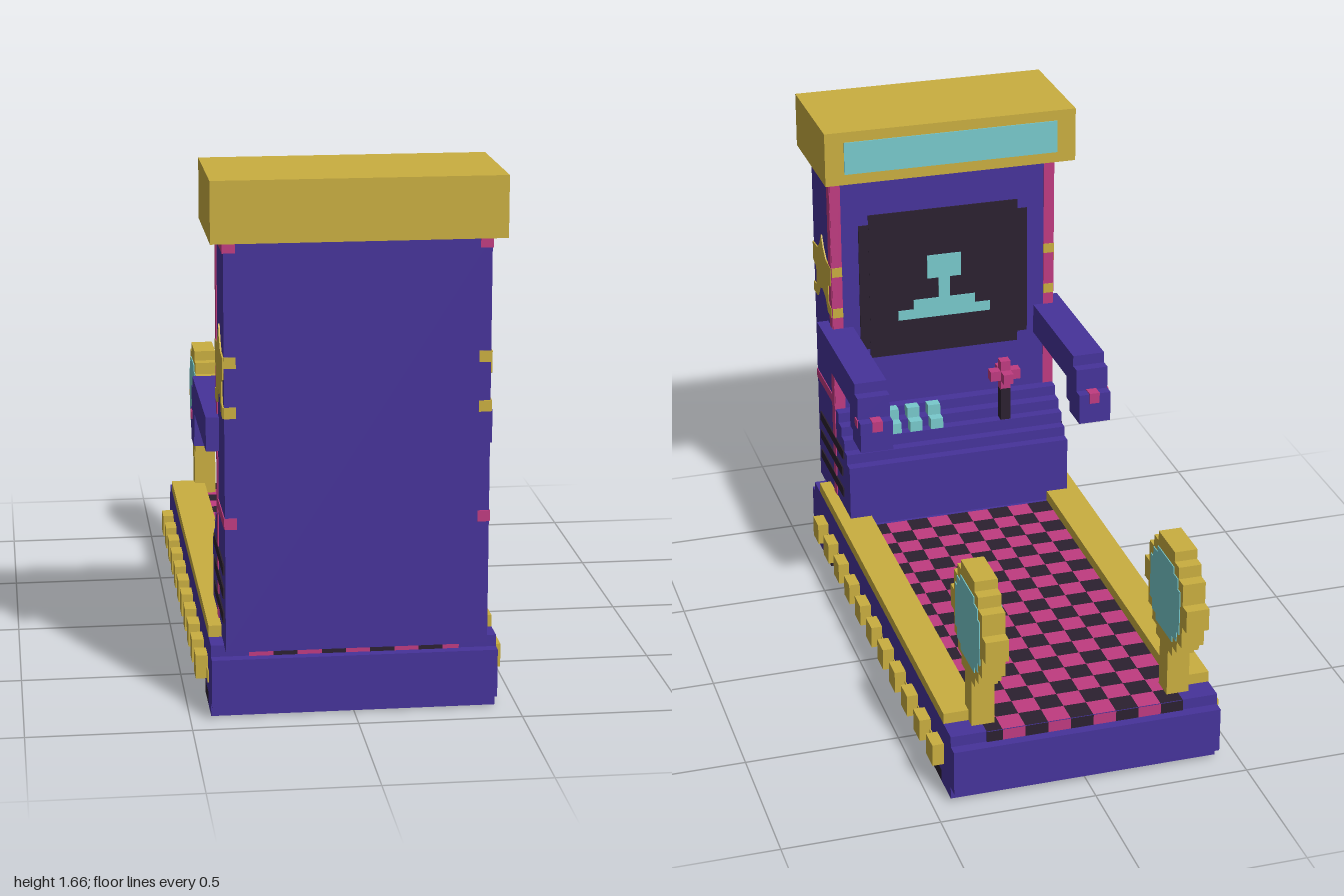
import * as THREE from 'three';
import { mergeGeometries } from 'three/addons/utils/BufferGeometryUtils.js';

// The body is a hollow shell, open underneath, so every material is two-sided
const paint = (name, color) => new THREE.MeshStandardMaterial({ name, color, side: THREE.DoubleSide });

export function createModel() {
  const model = new THREE.Group();
  const gold = paint('gold', 0xc9ae40);
  const violet = paint('violet', 0x46339a);
  const pink = paint('pink', 0xbf3b80);
  const dark = paint('dark', 0x2b2030);
  const teal = paint('teal', 0x78c9cc);

  const add = (name, geo, mat) => {
    const mesh = new THREE.Mesh(geo, mat);
    mesh.name = name;
    model.add(mesh);
    return mesh;
  };
  // Box from its extents; open lists dropped faces (0 +x, 1 -x, 2 +y, 3 -y, 4 +z, 5 -z)
  const boxGeo = (x0, x1, y0, y1, z0, z1, open = []) => {
    const g = new THREE.BoxGeometry(x1 - x0, y1 - y0, z1 - z0);
    g.translate((x0 + x1) / 2, (y0 + y1) / 2, (z0 + z1) / 2);
    const index = Array.from(g.index.array).filter((_, i) => !open.includes(Math.floor(i / 6)));
    g.setIndex(index);
    g.clearGroups();
    return g;
  };
  const box = (name, mat, x0, x1, y0, y1, z0, z1, open) =>
    add(name, boxGeo(x0, x1, y0, y1, z0, z1, open), mat);
  // Shape drawn in (z, y), extruded along x and centred on the given x
  const sideExtrude = (points, x, width, open) => {
    const shape = new THREE.Shape(points.map(([z, y]) => new THREE.Vector2(-z, y)));
    let g = new THREE.ExtrudeGeometry(shape, { depth: width, bevelEnabled: false });
    g.translate(0, 0, -width / 2).rotateY(Math.PI / 2).translate(x, 0, 0);
    if (open !== undefined) { // drop the triangles lying flat at this height
      const p = g.attributes.position;
      const keep = [];
      for (let i = 0; i < p.count; i += 3) {
        const flat = [0, 1, 2].every(k => Math.abs(p.getY(i + k) - open) < 1e-4);
        if (!flat) keep.push(i, i + 1, i + 2);
      }
      g.setIndex(keep);
      g.clearGroups();
    }
    return g;
  };
  // Blocky disc outline from [half width, half height] corners, widest first
  const steppedDisc = (corners, cz, cy) => {
    const quarter = [];
    corners.forEach(([w, h], i) => {
      if (i) quarter.push([w, corners[i - 1][1]]);
      quarter.push([w, h]);
    });
    const back = [...quarter].reverse();
    return [
      ...quarter, ...back.map(([w, h]) => [-w, h]),
      ...quarter.map(([w, h]) => [-w, -h]), ...back.map(([w, h]) => [w, -h]),
    ].map(([z, y]) => [cz + z, cy + y]);
  };

  // Base walls
  box('baseWalls', violet, -0.435, 0.435, 0.04, 0.19, -0.925, 0.925, [2, 3]);
  box('upperBaseWalls', violet, -0.435, 0.435, 0.19, 0.226, -0.89, 0.89, [2, 3]);
  for (const s of [-1, 1]) {
    const z = (a, b) => (s > 0 ? [a, b] : [-b, -a]);
    box('baseLedge', violet, -0.435, 0.435, 0.185, 0.19, ...z(0.887, 0.925));
    box('lowerLedge', violet, -0.435, 0.435, 0.04, 0.045, ...z(0.78, 0.925));
    box('endBar', violet, -0.435, 0.435, 0, 0.04, ...z(0.78, 0.885));
    for (const t of [-1, 1]) {
      const x = (a, b) => (t > 0 ? [a, b] : [-b, -a]);
      box('foot', dark, ...x(0.32, 0.435), 0, 0.04, ...z(0.665, 0.78));
      box('cornerTop', violet, ...x(0.32, 0.435), 0.221, 0.226, ...z(0.81, 0.89));
    }
  }

  // Checkered running belt and its two visible ends
  const cells = [[], []];
  const size = 0.0737;
  for (let c = 0; c < 9; c++) {
    const x0 = -0.32 + c * size;
    const x1 = Math.min(x0 + size, 0.32);
    for (let r = 0; r < 19; r++) {
      const z0 = -0.89 + r * size;
      const g = new THREE.PlaneGeometry(x1 - x0, size).rotateX(-Math.PI / 2);
      cells[(c + r) % 2].push(g.translate((x0 + x1) / 2, 0.226, z0 + size / 2));
    }
    cells[c % 2].push(boxGeo(x0, x1, 0.19, 0.226, -0.894, -0.886, [2]));
    cells[(c + 1) % 2].push(boxGeo(x0, x1, 0.19, 0.226, 0.886, 0.894, [2]));
  }
  add('beltDarkSquares', mergeGeometries(cells[0]), dark);
  add('beltPinkSquares', mergeGeometries(cells[1]), pink);

  // Cabinet and stepped console as one profile, open at the bottom
  add('cabinet', sideExtrude([
    [0.96, 0.23], [0.96, 1.475], [0.70, 1.475], [0.70, 0.60], [0.66, 0.60], [0.66, 0.565],
    [0.62, 0.565], [0.62, 0.53], [0.585, 0.53], [0.585, 0.49], [0.55, 0.49], [0.55, 0.455],
    [0.515, 0.455], [0.515, 0.23],
  ], 0, 0.79, 0.23), violet);
  box('cabinetOverhang', violet, -0.395, 0.395, 0.226, 0.232, 0.885, 0.96);

  // Marquee
  box('marquee', gold, -0.435, 0.435, 1.475, 1.66, 0.585, 1);
  box('marqueePanel', teal, -0.37, 0.37, 1.512, 1.624, 0.581, 0.589);

  // Screen with its icon
  box('screen', dark, -0.30, 0.30, 0.815, 1.275, 0.696, 0.704);
  box('screenInner', dark, -0.265, 0.265, 0.78, 1.31, 0.6955, 0.7045);
  const icon = [[0.06, 1.055, 1.14], [0.02, 0.98, 1.055], [0.11, 0.945, 0.98], [0.165, 0.91, 0.945]];
  for (const [w, y0, y1] of icon) box('screenIcon', teal, -w, w, y0, y1, 0.692, 0.701);

  // Star outline, mirrored about its centre line
  const half = [[0, 1.205], [0.025, 1.165], [0.06, 1.135], [0.128, 1.13], [0.128, 1.065], [0.085, 1.05],
    [0.09, 0.985], [0.128, 0.98], [0.128, 0.947], [0.075, 0.947], [0.045, 0.99], [0, 1.005]];
  const star = [...half, ...half.slice(1, -1).reverse().map(([z, y]) => [-z, y])]
    .map(([z, y]) => [0.83 + z, y]);

  for (const s of [-1, 1]) {
    const x = (a, b) => (s > 0 ? [a, b] : [-b, -a]);

    // Painted cabinet side: pink trim, star, vents
    const side = x(0.392, 0.398);
    box('sideStripe', pink, ...side, 0.25, 1.475, 0.70, 0.738);
    box('sideBand', pink, ...side, 0.61, 0.642, 0.738, 0.96);
    box('sideTopBand', pink, ...side, 1.44, 1.475, 0.738, 0.96);
    add('star', sideExtrude(star, s * 0.395, 0.0095), gold);
    for (const [y, z0] of [[0.473, 0.59], [0.4, 0.61], [0.322, 0.6]]) {
      box('vent', dark, ...x(0.3905, 0.3995), y - 0.017, y + 0.017, z0, 0.922);
    }
    // Trim wrapping the cabinet's upright edges
    box('screenTrim', pink, ...x(0.36, 0.396), 0.60, 1.475, 0.697, 0.703);
    for (const y of [0.626, 1.458]) box('edgeMark', pink, ...x(0.36, 0.396), y - 0.017, y + 0.017, 0.957, 0.963);
    for (const y of [0.964, 1.115]) {
      box('starTip', gold, ...x(0.36, 0.396), y - 0.017, y + 0.017, 0.957, 0.963);
      box('starTip', gold, ...x(0.36, 0.396), y - 0.017, y + 0.017, 0.695, 0.704);
    }

    // Bent handle arm with a small button
    add('handleArm', sideExtrude([
      [0.775, 0.80], [0.775, 0.905], [0.25, 0.905], [0.25, 0.868], [0.213, 0.868], [0.213, 0.79],
      [0.177, 0.79], [0.177, 0.685], [0.285, 0.685], [0.285, 0.72], [0.32, 0.72], [0.32, 0.80],
    ], s * 0.38, 0.11), violet);
    box('handleButton', pink, ...x(0.36, 0.395), 0.757, 0.794, 0.173, 0.213);
    box('handleSideButton', pink, ...x(0.431, 0.439), 0.762, 0.79, 0.21, 0.24);

    // Side rail and row of teeth
    box('sideRail', gold, ...x(0.32, 0.435), 0.226, 0.262, -0.81, 0.81, [3]);
    box('toothStrip', gold, ...x(0.431, 0.439), 0.08, 0.117, -0.81, 0.81);
    for (let i = 0; i < 11; i++) {
      const z = -0.773 + i * 0.1505;
      box('tooth', gold, ...x(0.425, 0.472), 0.08, 0.154, z - 0.037, z + 0.037);
    }

    // Round blocky mirror on a post
    const rim = [[0.19, 0.037], [0.152, 0.11], [0.112, 0.15], [0.073, 0.183]];
    const glass = [[0.132, 0.075], [0.11, 0.11], [0.073, 0.132]];
    box('mirrorPost', gold, ...x(0.282, 0.355), 0.226, 0.43, -0.846, -0.773);
    add('mirrorRim', sideExtrude(steppedDisc(rim, -0.81, 0.57), s * 0.3185, 0.073), gold);
    for (const gx of [0.282, 0.355]) {
      add('mirrorGlass', sideExtrude(steppedDisc(glass, -0.81, 0.57), s * gx, 0.006), teal);
    }
  }

  // Two rows of console buttons
  for (const bx of [0.06, 0.135, 0.21]) {
    box('consoleButton', teal, bx - 0.022, bx + 0.022, 0.53, 0.568, 0.587, 0.622);
    box('consoleButton', teal, bx - 0.022, bx + 0.022, 0.565, 0.605, 0.624, 0.66);
  }

  // Joystick: dark shaft and a cross-shaped knob
  const v = 0.018;
  const [jx, jy, jz] = [-0.19, 0.70, 0.606];
  box('joystickShaft', dark, jx - v, jx + v, 0.53, 0.65, jz - v, jz + v);
  for (let axis = 0; axis < 3; axis++) {
    const [a, b, c] = [0, 1, 2].map(k => (k === axis ? 3 * v : v));
    box('joystickKnob', pink, jx - a, jx + a, jy - b, jy + b, jz - c, jz + c);
  }
  return model;
}
